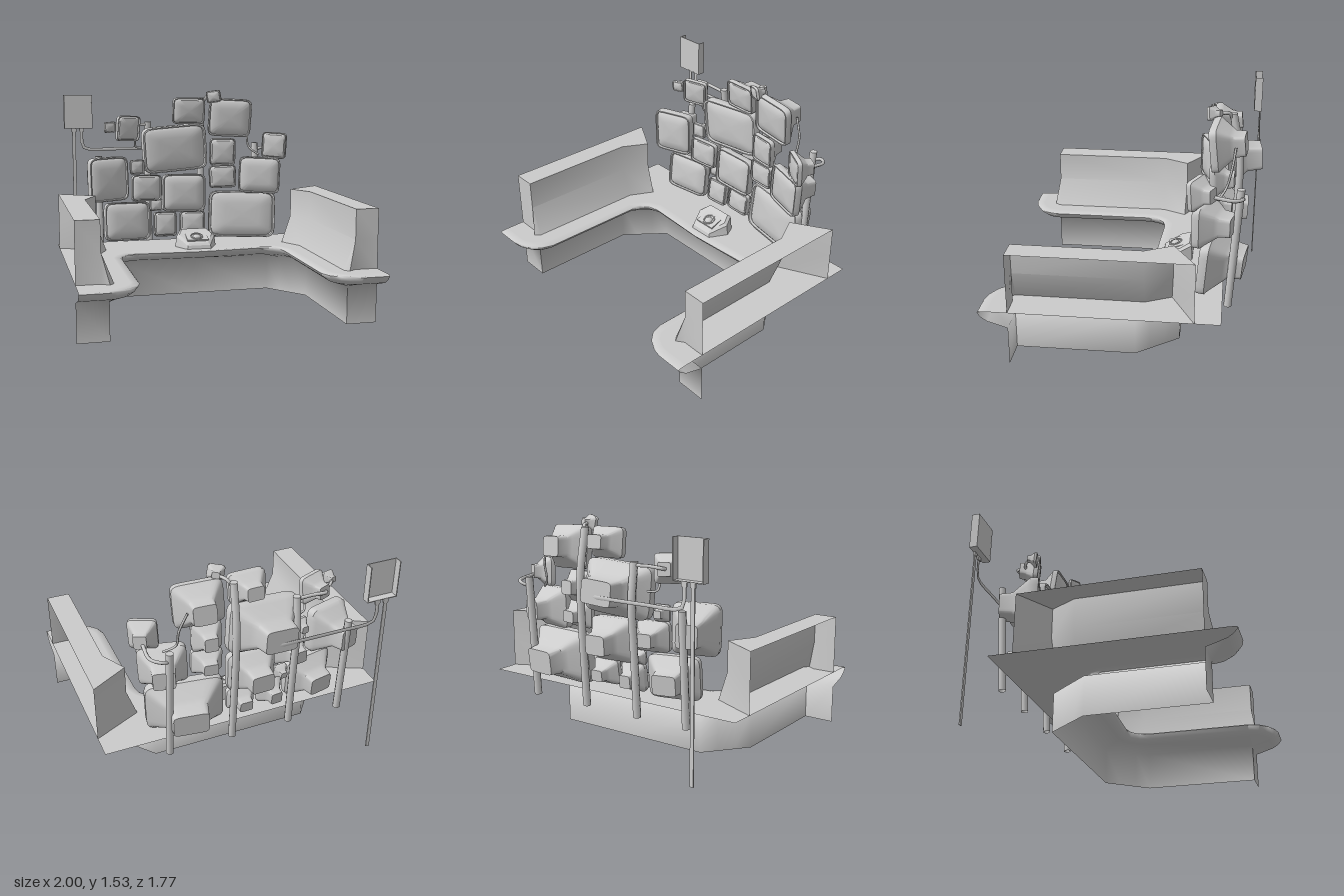
import * as THREE from 'three';
import { toCreasedNormals } from 'three/addons/utils/BufferGeometryUtils.js';

const grey = new THREE.MeshStandardMaterial({ color: 0xcccccc, side: THREE.DoubleSide });
const V = (x, y, z) => new THREE.Vector3(x, y, z);

function add(parent, name, geometry) {
  const mesh = new THREE.Mesh(geometry, grey);
  mesh.name = name;
  parent.add(mesh);
  return mesh;
}

// Skin over rows of points that all have the same length
function loft(rows, closed = false, crease = 0.6) {
  const n = rows[0].length, index = [];
  for (let i = 0; i < rows.length - 1; i++) {
    for (let j = 0; j < (closed ? n : n - 1); j++) {
      const a = i * n + j, d = i * n + (j + 1) % n, b = a + n, c = d + n;
      index.push(a, b, c, a, c, d);
    }
  }
  const geo = new THREE.BufferGeometry().setFromPoints(rows.flat());
  geo.setIndex(index);
  return toCreasedNormals(geo, crease);
}

// Flat horizontal sheet from [x, z] points
function sheet(points, y) {
  const shape = new THREE.Shape(points.map(([x, z]) => new THREE.Vector2(x, -z)));
  return new THREE.ShapeGeometry(shape).rotateX(-Math.PI / 2).translate(0, y, 0);
}

function tube(parent, name, points, radius, sides = 6) {
  const curve = new THREE.CatmullRomCurve3(points.map(p => V(...p)), false, 'centripetal');
  return add(parent, name, new THREE.TubeGeometry(curve, 16, radius, sides));
}

function box(parent, name, size, position) {
  const mesh = add(parent, name, new THREE.BoxGeometry(...size));
  mesh.position.set(...position);
  return mesh;
}

// U-shaped desk: rolled lip running smoothly into a recessed wall, thin top
function desk(parent) {
  const both = half => [...half, ...half.slice(0, -1).reverse().map(([x, z]) => [-x, z])];
  const edge = both([[-1, .885], [-.82, .885], [-.76, .873], [-.68, .83], [-.625, .77], [-.6, .69],
    [-.6, -.05], [-.585, -.12], [-.54, -.17], [-.45, -.188], [0, -.165]]);
  const wall = both([[-1, .69], [-.79, .69], [-.79, .69], [-.79, .69], [-.79, .69], [-.79, .69],
    [-.79, -.1], [-.72, -.19], [-.645, -.285], [-.57, -.378], [0, -.378]]);
  const ring = t => edge.map(([x, z], i) => [x + (wall[i][0] - x) * t, z + (wall[i][1] - z) * t]);
  const row = (t, y) => ring(t).map(([x, z]) => V(x, y, z));
  add(parent, 'deskFront', loft([row(.3, .37), row(.05, .368), row(0, .36), row(.12, .33),
    row(.33, .302), row(1, .262), row(1, 0)], false, 1.5));
  add(parent, 'deskTop', sheet([...ring(.3), [1, -.655], [-1, -.655]], .37));
}

// Raised side partition, flared at its foot and open on the outside
function partition(parent, side) {
  const orient = path => side < 0 ? path : path.map(([x, z]) => [-x, z]).reverse();
  const corner = [-.84, .69];
  const top = [[-1, .69], corner, corner, corner, [-.84, -.16], [-.745, -.34], [-1, -.49]];
  const foot = [[-1, .69], corner, [-.79, .725], [-.76, .69], [-.76, -.16], [-.675, -.33], [-1, -.49]];
  const row = (path, y) => orient(path).map(([x, z]) => V(x, y, z));
  const group = new THREE.Group();
  group.name = side < 0 ? 'rightPartition' : 'leftPartition';
  add(group, 'partitionWall', loft([row(top, .775), row(top, .57), row(foot, .37)], false, 0.75));
  add(group, 'partitionTop', sheet(orient([top[0], ...top.slice(3)]), .775));
  parent.add(group);
}

// Tube monitor: bulged screen, rim, tapering housing and a square tail
function monitor(parent, [x, y, w, h, roll = 0, z, yaw, depth]) {
  const d = depth ?? .37 * (w + h);
  const sections = [[0, .012], [.5, .01], [.82, .002], [.9, -.01], [.92, -.014], [.935, .004], [.985, .004],
    [1, -.006], [1, -d * .2], [.9, -d * .28], [.62, -d * .55], [.5, -d * .66], [.45, -d], [0, -d]];
  const N = 28, round = v => Math.sign(v) * Math.abs(v) ** .26;
  const rows = sections.map(([s, sz]) => Array.from({ length: N }, (_, j) => {
    const a = (j + .5) / N * Math.PI * 2;
    return V(round(Math.cos(a)) * w / 2 * s, round(Math.sin(a)) * h / 2 * s, sz);
  }));
  const mesh = add(parent, 'monitor', loft(rows, true, 0.7));
  mesh.position.set(x, y, z ?? -.57 + .25 * x * x);
  mesh.rotation.set((y - .9) * .25, yaw ?? -x * .38, roll, 'YXZ');
}

// Desk controller: six-sided wedge with a raised plate and a sunken ball
function controller(parent) {
  const foot = [[-.115, -.43], [-.155, -.35], [-.09, -.22], [.09, -.22], [.155, -.35], [.115, -.43]];
  const slope = z => .41 - (z + .22) * .38;
  const ring = (s, f) => foot.map(([x, z]) => V(x * s, f(z), -.32 + (z + .32) * s));
  const group = new THREE.Group();
  group.name = 'controller';
  add(group, 'controllerBody', loft([ring(0, () => .445), ring(.8, slope),
    ring(.94, z => slope(z) - .015), ring(1, () => .37)], true, 0.3));
  box(group, 'controllerPlate', [.16, .012, .13], [0, .447, -.32]).rotation.x = .33;
  const collar = add(group, 'ballCollar', new THREE.TorusGeometry(.042, .006, 6, 20));
  collar.position.set(0, .45, -.305);
  collar.rotation.x = -Math.PI / 2 + .33;
  add(group, 'ball', new THREE.SphereGeometry(.034, 16, 10)).position.set(0, .432, -.305);
  parent.add(group);
}

export function createModel() {
  const model = new THREE.Group();
  model.name = 'controlDesk';
  desk(model);
  partition(model, -1);
  partition(model, 1);
  controller(model);

  // Monitor wall: x, y, width, height, roll, z, yaw, depth
  const wall = new THREE.Group();
  wall.name = 'monitorWall';
  [
    [.005, 1.365, .25, .2, -.02, -.575],
    [.325, 1.31, .33, .29, -.05, -.56, -.12, .21],
    [-.1, 1.08, .5, .35, .07, -.585, .06, .295],
    [-.46, 1.24, .19, .19, -.04, -.57, .33, .13],
    [-.605, 1.255, .09, .08, .05, -.53, .3],
    [-.62, .87, .31, .33, .02, -.49, .3, .255],
    [-.4, .95, .11, .11, 0, -.56],
    [-.33, .79, .235, .2, -.02],
    [-.035, .74, .34, .29, -.02],
    [.265, 1.05, .2, .21, -.02],
    [.265, .86, .21, .175, .02],
    [.54, .87, .32, .28, -.04, -.49, -.28],
    [.645, 1.1, .19, .2, -.06, -.46, -.5, .13],
    [-.48, .545, .36, .29, -.02, -.52, .18, .2],
    [-.185, .505, .18, .19, -.02],
    [.03, .51, .2, .17, -.02],
    [.415, .565, .52, .36, -.03, -.53, -.158, .265],
    [-.25, .65, .1, .09, 0, -.6],
    [.185, 1.475, .11, .09, .15, -.53, -.4]
  ].forEach(m => monitor(wall, m));
  model.add(wall);

  // Posts carrying the wall, leaning back and bending forward at the top
  [[-.67, 1.02], [-.29, 1.28], [.13, 1.46], [.575, 1.1]].forEach(([x, top]) => {
    const lean = y => -.69 - (y - .28) * .065 + Math.max(0, y - 1.1) * .25;
    const points = [0, .25, .5, .75, 1].map(t => {
      const y = .275 + (top - .275) * t;
      return [x, y, lean(y)];
    });
    tube(model, 'post', points, .026, 8);
    add(model, 'postCap', new THREE.CylinderGeometry(.026, .026, .006, 8)).position.set(x, top, lean(top));
  });

  // Arms and loose cables
  tube(model, 'monitorArm', [[-.29, 1.26, -.71], [-.4, 1.265, -.71], [-.5, 1.26, -.71], [-.51, 1.25, -.67]], .012);
  tube(model, 'monitorArm', [[-.53, 1.245, -.64], [-.58, 1.25, -.62], [-.615, 1.255, -.58]], .01);
  tube(model, 'monitorArm', [[.575, 1.04, -.74], [.63, 1.06, -.76], [.69, 1.07, -.71], [.69, 1.09, -.57]], .012);
  tube(model, 'monitorArm', [[.13, 1.42, -.67], [.16, 1.47, -.65], [.185, 1.475, -.6]], .012);
  tube(model, 'cable', [[.44, 1.33, -.7], [.49, 1.2, -.68], [.5, 1.08, -.65], [.57, 1.02, -.6]], .008);
  tube(model, 'cable', [[-.41, 1.15, -.6], [-.4, 1.1, -.62], [-.34, 1.09, -.64]], .008);

  // Folded sign, open at the top and back
  const sign = new THREE.Group();
  sign.name = 'signStand';
  box(sign, 'signFace', [.214, .255, .006], [-.808, 1.358, -.834]);
  box(sign, 'signBottom', [.214, .006, .055], [-.808, 1.2335, -.858]);
  [-.912, -.704].forEach(x => box(sign, 'signSide', [.006, .255, .055], [x, 1.358, -.858]));

  // Flat pole under the sign, and a second pole bending toward the wall
  box(sign, 'signPole', [.026, 1.23, .008], [-.84, .615, -.876]);
  const bent = tube(sign, 'bentPole', [[-.78, 1.23, 0], [-.78, 1.12, 0], [-.765, 1.08, 0],
    [-.725, 1.065, 0], [-.5, 1.065, 0], [-.1, 1.065, 0]], .014);
  bent.scale.z = .3;
  bent.position.z = -.878;
  [-.84, -.78].forEach(x => box(sign, 'poleCollar', [.036, .03, .012], [x, 1.218, -.876]));
  model.add(sign);

  return model;
}
